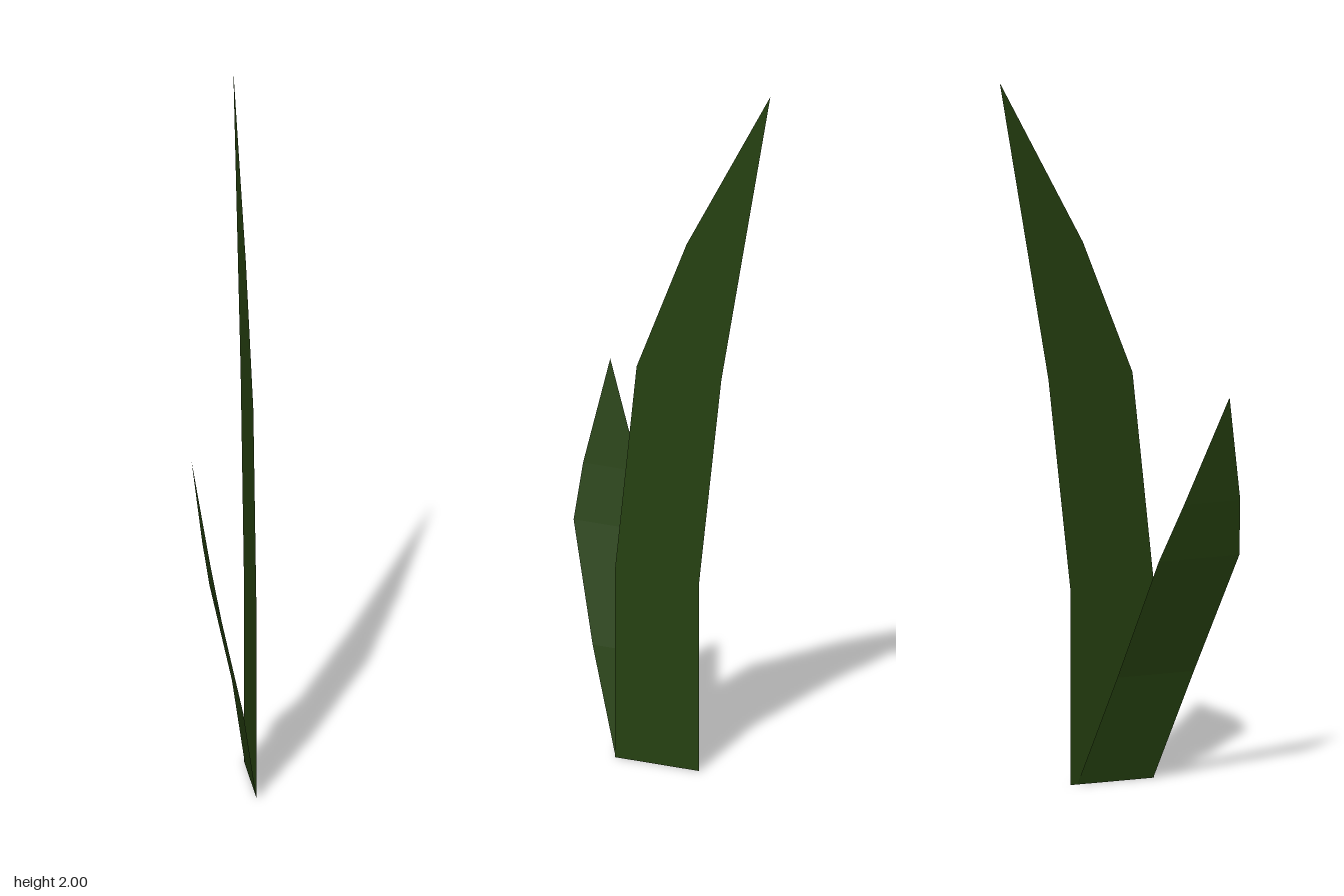
import * as THREE from 'three';

// Builds a one-sheet leaf from cross-sections [y, x, zBack, zFront]
function leaf(name, rows, material) {
  const positions = [];
  const index = [];
  rows.forEach(([y, x, zBack, zFront], i) => {
    positions.push(x, y, zBack, x, y, zFront);
    if (i === 0) return;
    const a = 2 * (i - 1);
    index.push(a, a + 2, a + 1);
    // the last section closes to a point
    if (i < rows.length - 1) index.push(a + 1, a + 2, a + 3);
  });
  const geometry = new THREE.BufferGeometry();
  geometry.setAttribute('position', new THREE.Float32BufferAttribute(positions, 3));
  geometry.setIndex(index);
  geometry.computeVertexNormals();
  const mesh = new THREE.Mesh(geometry, material);
  mesh.name = name;
  return mesh;
}

export function createModel() {
  const group = new THREE.Group();
  group.name = 'grassTuft';
  const leafGreen = new THREE.MeshStandardMaterial({
    color: 0x264110, side: THREE.DoubleSide, flatShading: true,
  });
  leafGreen.name = 'leaf green';

  // Tall upright blade, bending towards the back
  group.add(leaf('tallBlade', [
    [0, 0.1, -0.122, 0.147],
    [0.55, 0.1, -0.122, 0.147],
    [1.15, 0.1, -0.193, 0.078],
    [1.53, 0.1, -0.263, -0.082],
    [2, 0.1, -0.35, -0.35],
  ], leafGreen));

  // Short blade, leaning sideways and towards the front
  group.add(leaf('shortBlade', [
    [0, 0.1, -0.1, 0.145],
    [0.3, 0.05, 0, 0.247],
    [0.63, -0.025, 0.09, 0.35],
    [0.79, -0.054, 0.155, 0.336],
    [1.09, -0.1, 0.275, 0.275],
  ], leafGreen));

  return group;
}
